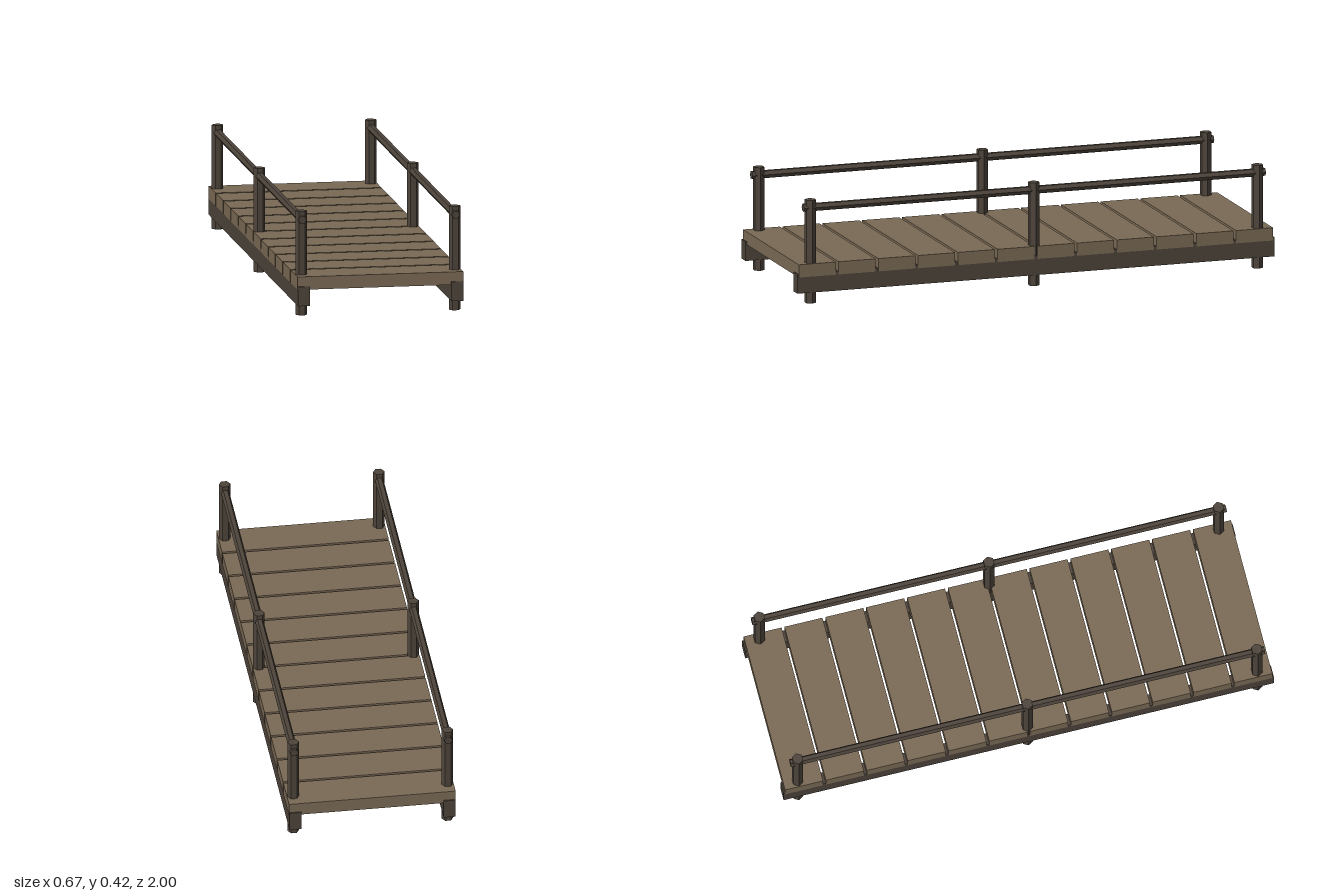
import * as THREE from 'three';

const SIDE_X = 0.308;

export function createModel() {
  const model = new THREE.Group();
  model.name = 'footbridge';
  const plankWood = new THREE.MeshStandardMaterial({ color: 0x7a6a55, flatShading: true });
  const darkWood = new THREE.MeshStandardMaterial({ color: 0x4d443b, flatShading: true });

  function add(name, geometry, material, x, y, z) {
    const mesh = new THREE.Mesh(geometry, material);
    mesh.name = name;
    mesh.position.set(x, y, z);
    model.add(mesh);
  }

  // Deck planks, laid crosswise with narrow gaps
  const count = 12;
  const pitch = 2 / count;
  const plank = new THREE.BoxGeometry(0.666, 0.052, 0.155);
  for (let i = 0; i < count; i++) {
    add('plank', plank, plankWood, 0, 0.136, -1 + pitch * (i + 0.5));
  }

  // Hexagonal bars with corners pointing sideways
  const beam = new THREE.BoxGeometry(0.048, 0.078, 2);
  const post = new THREE.CylinderGeometry(0.023, 0.023, 0.418, 6).rotateY(Math.PI / 2);
  const rail = new THREE.CylinderGeometry(0.0167, 0.0167, 1.935, 6)
    .rotateY(Math.PI / 2).rotateX(Math.PI / 2);

  // Beam, posts and handrail on each side
  for (const [side, label] of [[1, 'left'], [-1, 'right']]) {
    const x = side * SIDE_X;
    add(label + 'Beam', beam, darkWood, x, 0.084, 0);
    add(label + 'Handrail', rail, darkWood, x, 0.386, 0);
    for (const z of [-0.937, 0, 0.937]) add(label + 'Post', post, darkWood, x, 0.209, z);
  }
  return model;
}
